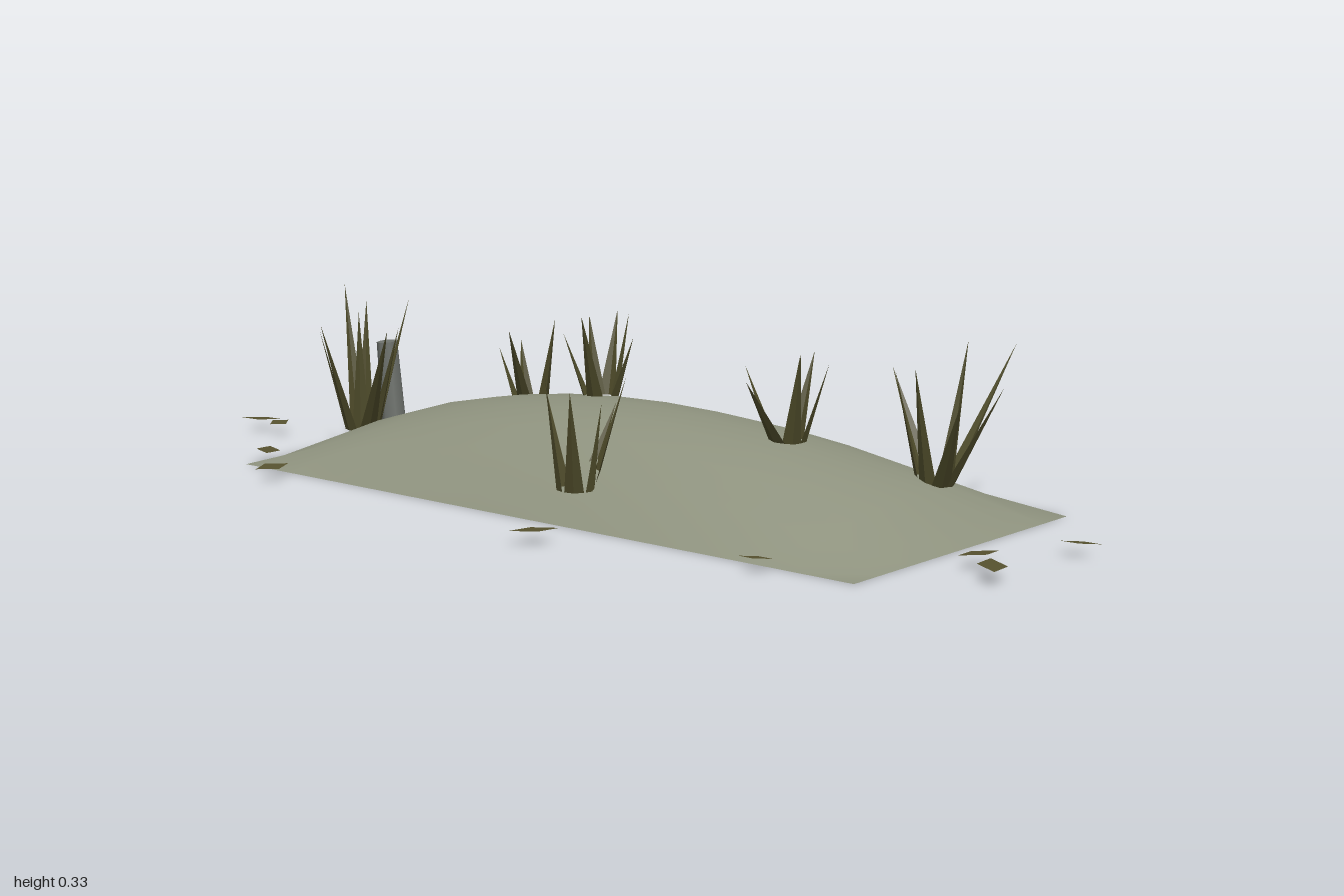
import * as THREE from 'three';

const LENGTH = 1.49, WIDTH = 0.66, PEAK = 0.165;
const CENTRE = { x: 0.03, z: -0.005 }, TURN = 0.07;

// Height of the mound at local coordinates measured along its sides
function moundHeight(lx, lz) {
  const u = Math.min(1, Math.abs(lx) / (LENGTH / 2));
  const v = Math.min(1, Math.abs(lz) / (WIDTH / 2));
  return PEAK * Math.pow(1 - u * u, 0.7) * Math.pow(1 - v * v, 0.75);
}

// Height of the mound at model coordinates
function groundAt(x, z) {
  const dx = x - CENTRE.x, dz = z - CENTRE.z;
  const c = Math.cos(TURN), s = Math.sin(TURN);
  return moundHeight(dx * c + dz * s, dz * c - dx * s);
}

function triangles(points) {
  const geometry = new THREE.BufferGeometry();
  geometry.setAttribute('position', new THREE.Float32BufferAttribute(points.flat(), 3));
  geometry.computeVertexNormals();
  return geometry;
}

export function createModel() {
  const model = new THREE.Group();
  model.name = 'grassyMound';
  const paint = (name, color) =>
    new THREE.MeshStandardMaterial({ name, color, side: THREE.DoubleSide });
  const soil = paint('paleSoil', 0x8f937f);
  const grass = paint('dryGrass', 0x4d4a29);
  const litter = paint('fallenLeaf', 0x57522f);
  const stone = paint('greyStone', 0x70746f);
  const add = (name, geometry, material, parent = model) => {
    const mesh = new THREE.Mesh(geometry, material);
    mesh.name = name;
    parent.add(mesh);
    return mesh;
  };

  // Mound: an open sheet raised into a smooth hump
  const sheet = new THREE.PlaneGeometry(LENGTH, WIDTH, 12, 8).rotateX(-Math.PI / 2);
  const pos = sheet.attributes.position;
  for (let i = 0; i < pos.count; i++) pos.setY(i, moundHeight(pos.getX(i), pos.getZ(i)));
  sheet.computeVertexNormals();
  const mound = add('mound', sheet, soil);
  mound.position.set(CENTRE.x, 0, CENTRE.z);
  mound.rotation.y = -TURN;

  // Grass tufts: centre x, z and the tip of each blade as [x, y, z]
  const tufts = [
    [-0.64, 0.03, [[-0.73, 0.33, -0.02], [-0.7, 0.25, 0.09], [-0.66, 0.27, 0.13], [-0.5, 0.27, 0.11],
      [-0.55, 0.26, 0.02], [-0.59, 0.31, -0.06], [-0.68, 0.3, -0.03], [-0.62, 0.29, 0.06]]],
    [-0.44, -0.27, [[-0.395, 0.25, -0.14], [-0.37, 0.26, -0.26], [-0.51, 0.19, -0.25],
      [-0.5, 0.2, -0.31], [-0.42, 0.19, -0.31]]],
    [-0.13, -0.1, [[-0.15, 0.31, -0.18], [-0.06, 0.27, -0.11], [-0.19, 0.3, -0.14],
      [-0.11, 0.32, -0.01], [-0.2, 0.27, -0.07], [-0.1, 0.31, -0.15]]],
    [0.37, 0, [[0.37, 0.29, -0.09], [0.44, 0.28, -0.03], [0.43, 0.31, 0.05],
      [0.36, 0.26, 0.12], [0.29, 0.27, 0.02]]],
    [0.1, 0.28, [[0.1, 0.2, 0.16], [0.16, 0.26, 0.21], [0.15, 0.22, 0.27],
      [0.14, 0.25, 0.35], [0.03, 0.24, 0.28], [0.06, 0.27, 0.32]]],
    [0.62, -0.11, [[0.48, 0.26, -0.185], [0.69, 0.31, -0.27], [0.76, 0.26, -0.1], [0.72, 0.24, -0.02],
      [0.63, 0.32, -0.2], [0.55, 0.27, -0.08], [0.62, 0.29, -0.03]]],
  ];
  tufts.forEach(([x, z, tips], t) => {
    const tuft = new THREE.Group();
    tuft.name = `grassTuft${t + 1}`;
    model.add(tuft);
    const y = groundAt(x, z) - 0.005;
    tips.forEach(([tx, ty, tz], i) => {
      // Folded blade: two narrow faces meeting on a raised spine
      const a = Math.atan2(tz - z, tx - x), c = Math.cos(a), s = Math.sin(a);
      const at = (r, w) => [x + r * c - w * s, y, z + r * s + w * c];
      const tip = [tx, ty, tz], spine = at(0.036, 0);
      const points = [at(0.028, 0.018), spine, tip, spine, at(0.028, -0.018), tip];
      add(`grassBlade${i + 1}`, triangles(points), grass, tuft);
    });
  });

  // Small leaning stone post beside the end tuft
  const post = add('stonePost', new THREE.CylinderGeometry(0.022, 0.026, 0.19, 7), stone);
  post.position.set(-0.66, 0.115, -0.08);
  post.rotation.set(0.04, 0, 0.06);

  // Fallen leaves: x, z, half length, half width, heading from +x towards +z
  const leaves = [
    [-0.955, 0, 0.045, 0.026, -0.4], [-0.895, 0.01, 0.03, 0.018, 1.5], [-0.275, -0.487, 0.042, 0.025, -0.6],
    [0.05, -0.43, 0.034, 0.018, 0.3], [0.965, -0.01, 0.036, 0.018, -0.25], [0.862, 0.16, 0.042, 0.024, -1.1],
    [0.922, 0.222, 0.048, 0.026, 1.0], [0.578, 0.41, 0.031, 0.017, -0.25], [0.153, 0.47, 0.046, 0.027, -0.9],
    [-0.59, 0.35, 0.04, 0.022, 1.7], [-0.71, 0.235, 0.036, 0.024, 0.9],
  ];
  leaves.forEach(([x, z, l, w, a], i) => {
    const p = [[-l, 0, 0], [0, 0.002, w], [l, 0, 0], [0, -0.002, -w]];
    const leaf = add(`leaf${i + 1}`, triangles([p[0], p[1], p[2], p[0], p[2], p[3]]), litter);
    leaf.position.set(x, 0.027, z);
    leaf.rotation.y = -a;
  });
  return model;
}
